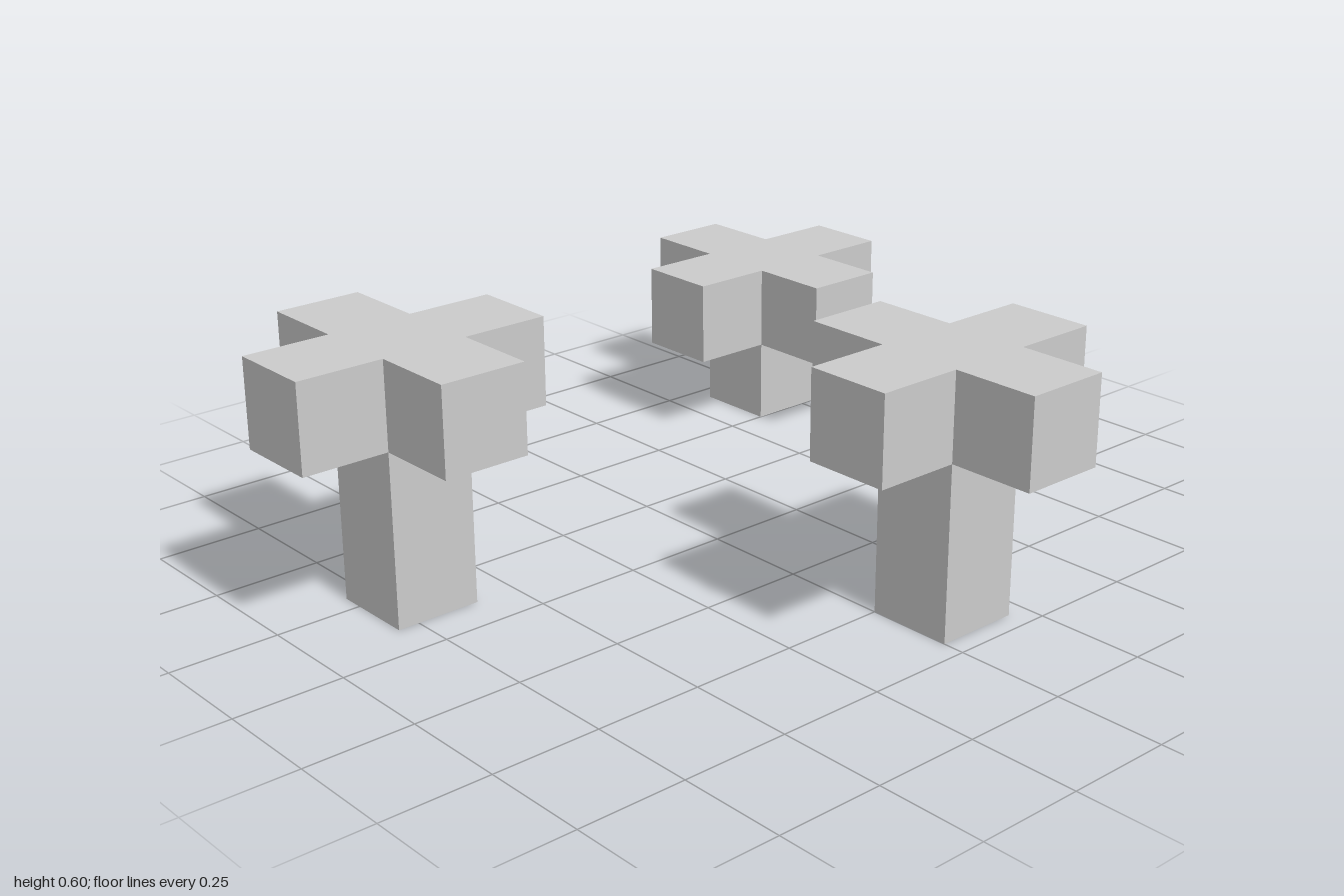
import * as THREE from 'three';

const UNIT = 0.2; // edge of one block

// Plus-shaped slab, one block thick, with its underside on y = 0
function crossGeometry() {
  const a = UNIT / 2, b = UNIT * 1.5;
  const shape = new THREE.Shape([
    [a, -b], [a, -a], [b, -a], [b, a], [a, a], [a, b],
    [-a, b], [-a, a], [-b, a], [-b, -a], [-a, -a], [-a, -b],
  ].map(([x, y]) => new THREE.Vector2(x, y)));
  return new THREE.ExtrudeGeometry(shape, { depth: UNIT, bevelEnabled: false }).rotateX(-Math.PI / 2);
}

export function createModel() {
  const model = new THREE.Group();
  model.name = 'blockTrees';
  const material = new THREE.MeshStandardMaterial({ color: 0xcccccc, flatShading: true });
  const capGeometry = crossGeometry();

  // Square stem carrying a cross-shaped cap
  function addTree(name, x, z, stemBlocks) {
    const height = stemBlocks * UNIT;
    const tree = new THREE.Group();
    tree.name = name;
    tree.position.set(x, 0, z);

    const stem = new THREE.Mesh(new THREE.BoxGeometry(UNIT, height, UNIT), material);
    stem.name = 'stem';
    stem.position.y = height / 2;

    const cap = new THREE.Mesh(capGeometry, material);
    cap.name = 'cap';
    cap.position.y = height;

    tree.add(stem, cap);
    model.add(tree);
  }

  addTree('shortBackTree', -0.6, -0.7, 1);
  addTree('tallLeftTree', 0.6, -0.1, 2);
  addTree('tallFrontTree', -0.2, 0.7, 2);
  return model;
}
